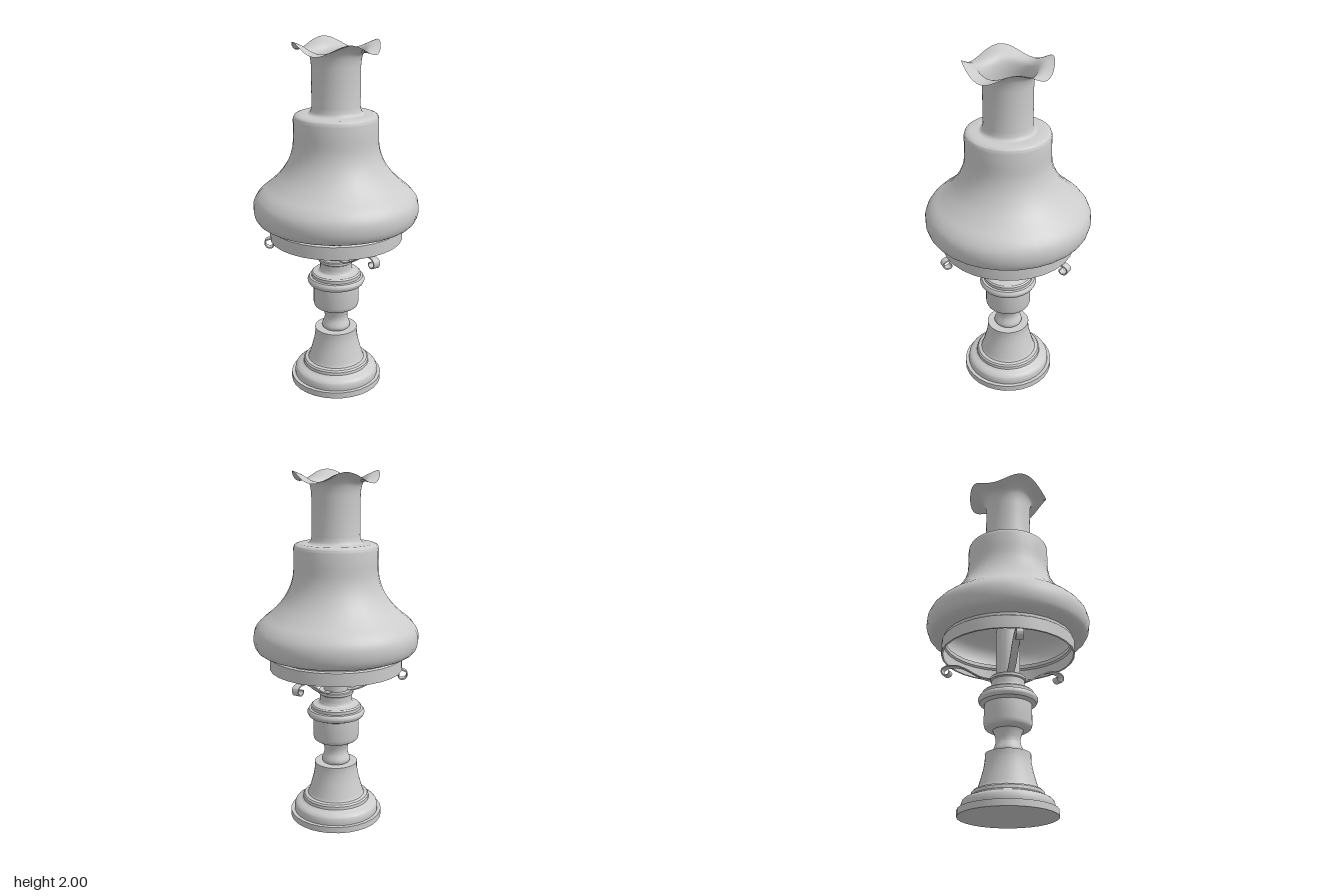
import * as THREE from 'three';
import { toCreasedNormals } from 'three/addons/utils/BufferGeometryUtils.js';

const material = new THREE.MeshStandardMaterial({ color: 0xcccccc, side: THREE.DoubleSide });
const toVectors = (pts) => pts.map(([x, y]) => new THREE.Vector2(x, y));

// Resample a few control points into a smooth profile
const smooth = (pts, n) => new THREE.SplineCurve(toVectors(pts)).getPoints(n);

function addMesh(parent, name, geometry, crease = 0.6) {
  const mesh = new THREE.Mesh(toCreasedNormals(geometry, crease), material);
  mesh.name = name;
  parent.add(mesh);
  return mesh;
}

const turned = (points, segments = 30) => new THREE.LatheGeometry(points, segments);

// Flat metal strip bent along a side profile, width across the bend
function stripGeometry(path, thickness, width) {
  const curve = new THREE.SplineCurve(toVectors(path));
  const n = 48, upper = [], lower = [];
  for (let i = 0; i <= n; i++) {
    const p = curve.getPoint(i / n), t = curve.getTangent(i / n);
    const offset = new THREE.Vector2(-t.y, t.x).multiplyScalar(thickness / 2);
    upper.push(p.clone().add(offset));
    lower.unshift(p.clone().sub(offset));
  }
  const shape = new THREE.Shape([...lower, ...upper]);
  return new THREE.ExtrudeGeometry(shape, { depth: width, bevelEnabled: false }).translate(0, 0, -width / 2);
}

export function createModel() {
  const lamp = new THREE.Group();
  lamp.name = 'oilLamp';

  // Foot: flat plate, rounded step and bell-shaped pedestal
  addMesh(lamp, 'footPlate', turned(toVectors([[0, 0], [0.267, 0], [0.267, 0.036], [0, 0.036]])));
  addMesh(lamp, 'pedestal', turned([
    ...smooth([[0.246, 0.036], [0.246, 0.06], [0.236, 0.085], [0.2, 0.103]], 10),
    ...toVectors([[0.195, 0.108], [0.193, 0.125], [0.185, 0.134], [0.166, 0.138]]),
    ...smooth([[0.163, 0.142], [0.148, 0.19], [0.132, 0.25], [0.124, 0.3], [0.124, 0.335]], 10),
    ...toVectors([[0.07, 0.335]]),
  ]));

  // Waisted neck between the pedestal and the oil font
  addMesh(lamp, 'neck', turned(
    smooth([[0.07, 0.33], [0.083, 0.35], [0.069, 0.39], [0.067, 0.415], [0.076, 0.45], [0.088, 0.475]], 16)));

  // Oil font with its bulging collar
  addMesh(lamp, 'oilFont', turned([
    ...toVectors([[0, 0.466], [0.085, 0.466]]),
    ...smooth([[0.11, 0.469], [0.126, 0.48], [0.132, 0.5]], 6),
    ...toVectors([[0.132, 0.61], [0.145, 0.616]]),
    ...smooth([[0.156, 0.62], [0.166, 0.642], [0.156, 0.662]], 8),
    ...toVectors([[0.143, 0.664], [0.143, 0.682], [0.135, 0.69], [0.105, 0.695]]),
    ...smooth([[0.1, 0.697], [0.093, 0.71], [0.092, 0.745]], 6),
    ...toVectors([[0.092, 0.75], [0.1, 0.755], [0.1, 0.77], [0.095, 0.775], [0, 0.775]]),
  ]));

  // Burner tube with a domed top
  const dome = Array.from({ length: 11 }, (_, i) => {
    const a = i / 10 * Math.PI / 2;
    return new THREE.Vector2(0.068 * Math.cos(a), 1.05 + 0.068 * Math.sin(a));
  });
  addMesh(lamp, 'burnerTube', turned([new THREE.Vector2(0.068, 0.77), ...dome]));

  // Three scrolled arms carrying the gallery ring
  const armPath = [[0.03, 0.775], [0.1, 0.778], [0.155, 0.797], [0.205, 0.828], [0.255, 0.863], [0.31, 0.89],
    [0.365, 0.897], [0.397, 0.888], [0.405, 0.868], [0.393, 0.847], [0.37, 0.843], [0.356, 0.855], [0.358, 0.868]];
  const arm = stripGeometry(armPath, 0.007, 0.04);
  for (let i = 0; i < 3; i++) {
    addMesh(lamp, 'scrollArm' + (i + 1), arm).rotation.y = Math.PI / 2 + i * Math.PI * 2 / 3;
  }

  // Thin open ring under the shade
  addMesh(lamp, 'galleryRing', turned(toVectors([
    [0.366, 0.905], [0.376, 0.905], [0.376, 0.978], [0.366, 0.985], [0.366, 1.002], [0.358, 1.002],
    [0.358, 0.98], [0.366, 0.97], [0.366, 0.905],
  ])));

  // Bell-shaped glass shade
  addMesh(lamp, 'shade', turned([
    ...smooth([[0.36, 1.0], [0.41, 1.003], [0.448, 1.025], [0.464, 1.075], [0.458, 1.13], [0.425, 1.178],
      [0.365, 1.228], [0.305, 1.29], [0.262, 1.36], [0.24, 1.43], [0.235, 1.5]], 40),
    ...smooth([[0.235, 1.585], [0.228, 1.605], [0.207, 1.614]], 6),
    ...toVectors([[0.155, 1.614]]),
  ]));

  // Chimney whose flared lip ripples in four lobes
  const chimney = turned([
    ...smooth([[0.155, 1.614], [0.14, 1.625], [0.133, 1.655]], 6),
    ...smooth([[0.133, 1.85], [0.136, 1.9], [0.149, 1.94], [0.182, 1.963], [0.235, 1.97]], 16),
  ], 60);
  const pos = chimney.attributes.position;
  for (let i = 0; i < pos.count; i++) {
    const x = pos.getX(i), z = pos.getZ(i), y = pos.getY(i);
    if (y < 1.8) continue;
    const flare = Math.max(0, (Math.hypot(x, z) - 0.133) / 0.102);
    pos.setY(i, y - 0.031 * flare * Math.cos(4 * Math.atan2(z, x)));
  }
  addMesh(lamp, 'chimney', chimney, 0.9);

  return lamp;
}
